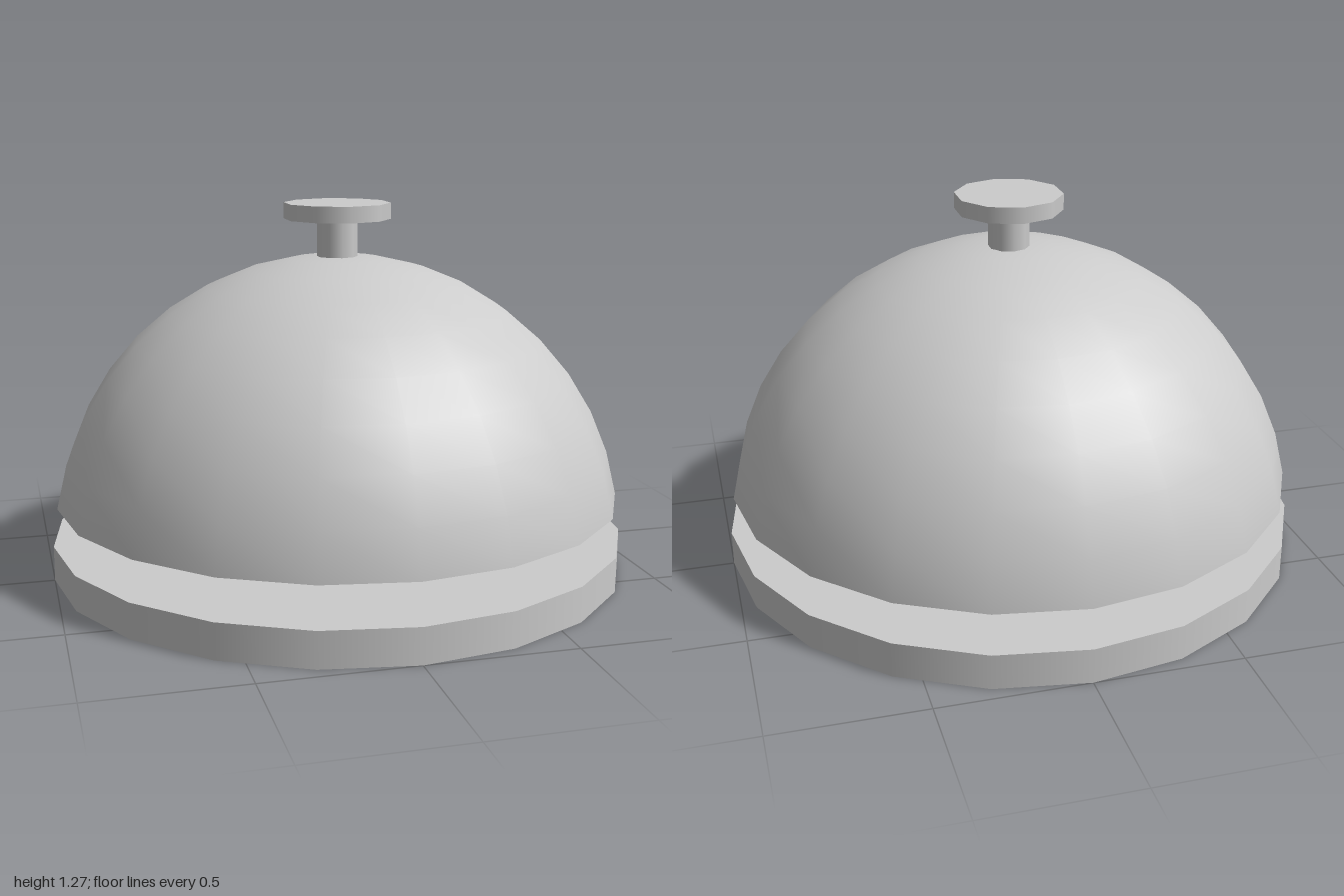
import * as THREE from 'three';

export function createModel() {
  const bell = new THREE.Group();
  bell.name = 'deskBell';
  const metal = new THREE.MeshStandardMaterial({ color: 0xcccccc });
  const shell = new THREE.MeshStandardMaterial({ color: 0xcccccc, side: THREE.DoubleSide });

  // Upright disc or rod between two heights
  function addDisc(name, radius, bottom, top, sides) {
    const mesh = new THREE.Mesh(new THREE.CylinderGeometry(radius, radius, top - bottom, sides), metal);
    mesh.name = name;
    mesh.position.y = (bottom + top) / 2;
    bell.add(mesh);
  }

  addDisc('base', 1, 0, 0.12, 20);
  addDisc('post', 0.07, 0.12, 1.215, 10);
  addDisc('button', 0.184, 1.215, 1.27, 10);

  // Hollow dome, open underneath, stopping just short of a half sphere
  const dome = new THREE.Mesh(
    new THREE.SphereGeometry(0.995, 20, 9, 0, Math.PI * 2, 0, Math.PI * 0.45),
    shell
  );
  dome.name = 'dome';
  dome.position.y = 0.097;
  bell.add(dome);

  return bell;
}
